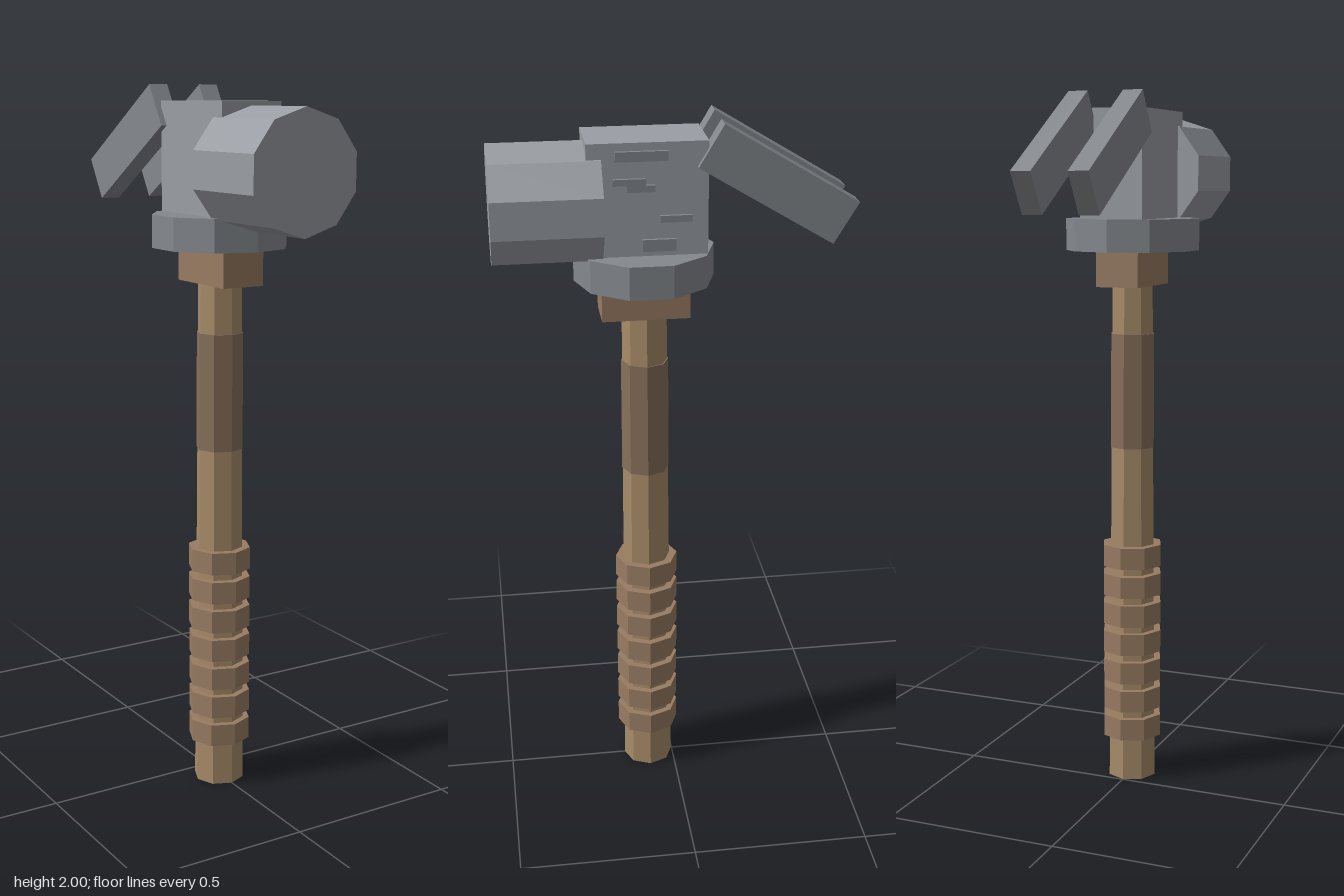
import * as THREE from 'three';

const mat = (color) => new THREE.MeshStandardMaterial({ color, flatShading: true });

export function createModel() {
  const model = new THREE.Group();
  const steel = mat(0x9a9ea4);
  const darkSteel = mat(0x85898e);
  const wood = mat(0xa88c69);
  const darkWood = mat(0x87705a);
  const grip = mat(0x997c63);
  const axisZ = 0.075; // handle axis

  function add(name, geometry, material, x, y, z) {
    const mesh = new THREE.Mesh(geometry, material);
    mesh.name = name;
    mesh.position.set(x, y, z);
    model.add(mesh);
    return mesh;
  }

  // upright prism on the handle axis between two heights
  function post(name, rTop, rBottom, y0, y1, sides, material) {
    return add(name, new THREE.CylinderGeometry(rTop, rBottom, y1 - y0, sides), material, 0, (y0 + y1) / 2, axisZ);
  }

  // box given by its extents
  function block(name, [x0, x1], [y0, y1], [z0, z1], material) {
    return add(name, new THREE.BoxGeometry(x1 - x0, y1 - y0, z1 - z0), material,
      (x0 + x1) / 2, (y0 + y1) / 2, (z0 + z1) / 2);
  }

  // Handle in three lengths
  post('lowerHandle', 0.065, 0.073, 0, 1.0, 8, wood);
  post('handleBand', 0.066, 0.067, 1.0, 1.33, 8, darkWood);
  post('upperHandle', 0.061, 0.063, 1.33, 1.57, 8, wood);

  // Grip rings
  for (let i = 0; i < 7; i++) {
    const y = 0.159 + i * 0.0867;
    post('gripRing', 0.09, 0.09, y - 0.032, y + 0.032, 8, grip);
  }

  // Neck block and ten-sided collar under the head
  block('neckBlock', [-0.063, 0.063], [1.467, 1.57], [-0.043, 0.196], grip);
  post('collar', 0.19, 0.19, 1.567, 1.657, 10, darkSteel);

  // Head body and striking face
  block('headBody', [-0.092, 0.092], [1.64, 1.957], [-0.085, 0.232], steel);
  const face = add('strikingFace', new THREE.CylinderGeometry(0.163, 0.163, 0.29, 10), steel, 0, 1.783, 0.338);
  face.rotation.x = Math.PI / 2;

  // Pair of sloping claws at the back
  for (const side of [-1, 1]) {
    const claw = add('claw', new THREE.BoxGeometry(0.057, 0.129, 0.422), darkSteel, side * 0.08, 1.837, -0.27);
    claw.rotation.x = -0.54;
  }

  // Raised chips on the left cheek of the head
  const chips = [
    [[1.91, 1.936], [0.021, 0.159]],
    [[1.848, 1.865], [0.08, 0.165]],
    [[1.83, 1.848], [0.055, 0.13]],
    [[1.748, 1.766], [-0.042, 0.042]],
    [[1.671, 1.703], [0.0, 0.09]],
  ];
  for (const [y, z] of chips) block('cheekChip', [0.08, 0.101], y, z, darkSteel);

  return model;
}
